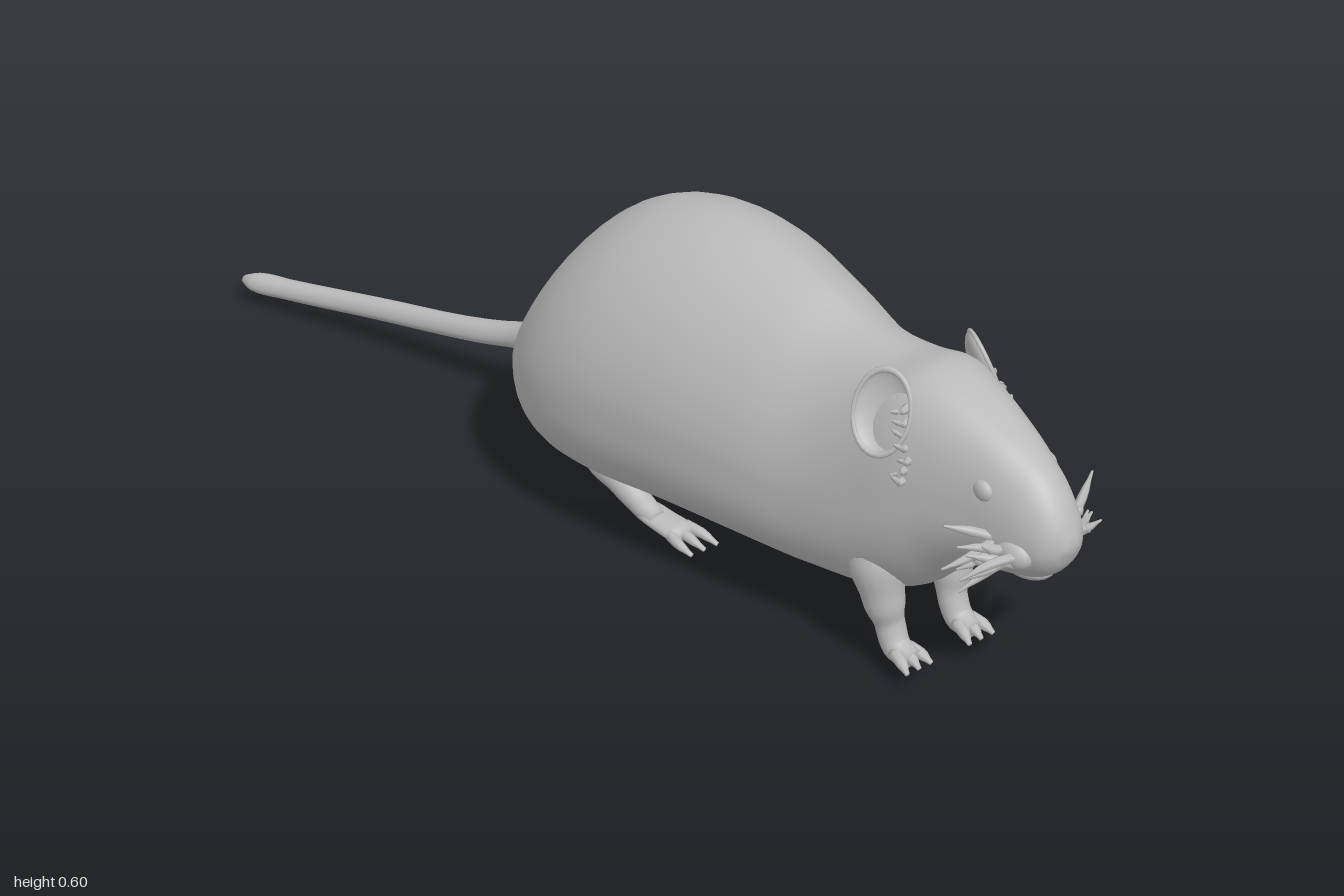
import * as THREE from 'three';

const fur = new THREE.MeshStandardMaterial({ color: 0xbababa });
fur.name = 'light grey fur';
fur.side = THREE.DoubleSide;

// Skin closed rings of points and cap both ends
function loft(rings) {
  const n = rings[0].length, pos = [], idx = [];
  rings.forEach(r => r.forEach(p => pos.push(p.x, p.y, p.z)));
  for (let j = 0; j < rings.length - 1; j++) {
    for (let i = 0; i < n; i++) {
      const a = j * n + i, b = j * n + (i + 1) % n;
      idx.push(a, a + n, b, b, a + n, b + n);
    }
  }
  [0, rings.length - 1].forEach((j, end) => {
    const c = new THREE.Vector3();
    rings[j].forEach(p => c.addScaledVector(p, 1 / n));
    const k = pos.length / 3;
    pos.push(c.x, c.y, c.z);
    for (let i = 0; i < n; i++) {
      const a = j * n + i, b = j * n + (i + 1) % n;
      if (end) idx.push(k, b, a); else idx.push(k, a, b);
    }
  });
  const g = new THREE.BufferGeometry();
  g.setAttribute('position', new THREE.Float32BufferAttribute(pos, 3));
  g.setIndex(idx);
  g.computeVertexNormals();
  return g;
}

// Tapered tube through points [x, y, z, radius]
function limb(points, sides = 14, steps = 16, flat = 1) {
  const curve = new THREE.CatmullRomCurve3(points.map(p => new THREE.Vector3(p[0], p[1], p[2])));
  const last = points.length - 1, rings = [];
  for (let j = 0; j <= steps; j++) {
    const t = j / steps, k = Math.min(Math.floor(t * last), last - 1);
    const r = THREE.MathUtils.lerp(points[k][3], points[k + 1][3], THREE.MathUtils.smoothstep(t * last - k, 0, 1));
    const c = curve.getPoint(t), T = curve.getTangent(t);
    const N = Math.abs(T.x) > 0.8 ? new THREE.Vector3(0, 1, 0) : new THREE.Vector3(1, 0, 0);
    N.addScaledVector(T, -N.dot(T)).normalize();
    const B = T.clone().cross(N), ring = [];
    for (let i = 0; i < sides; i++) {
      const a = -i / sides * Math.PI * 2;
      ring.push(c.clone().addScaledVector(N, r * Math.cos(a)).addScaledVector(B, r * flat * Math.sin(a)));
    }
    rings.push(ring);
  }
  return loft(rings);
}

// Body stations from nose to tail tip: z, top y, bottom y, half width, centre x
const stations = [
  [0.998, 0.372, 0.352, 0.012, 0], [0.985, 0.405, 0.322, 0.035, 0],
  [0.95, 0.453, 0.288, 0.056, 0], [0.90, 0.487, 0.27, 0.07, 0],
  [0.84, 0.515, 0.255, 0.084, 0], [0.77, 0.541, 0.215, 0.105, 0],
  [0.70, 0.555, 0.15, 0.128, 0.003], [0.62, 0.54, 0.115, 0.146, 0.005],
  [0.52, 0.543, 0.11, 0.165, 0.003], [0.40, 0.576, 0.107, 0.195, 0],
  [0.22, 0.604, 0.1, 0.236, 0], [0.06, 0.585, 0.083, 0.254, 0],
  [-0.04, 0.536, 0.078, 0.243, 0], [-0.12, 0.463, 0.088, 0.213, 0],
  [-0.19, 0.367, 0.12, 0.168, 0], [-0.24, 0.273, 0.14, 0.12, -0.003],
  [-0.29, 0.207, 0.14, 0.066, -0.008], [-0.35, 0.174, 0.122, 0.034, -0.016],
  [-0.45, 0.143, 0.097, 0.025, -0.037], [-0.7, 0.1, 0.058, 0.022, -0.095],
  [-0.9, 0.073, 0.034, 0.022, -0.155], [-0.97, 0.066, 0.03, 0.021, -0.178],
  [-0.998, 0.054, 0.038, 0.009, -0.186]
];

function bodyGeometry() {
  const curve = new THREE.CubicInterpolant(
    stations.map(s => -s[0]), stations.flatMap(s => s.slice(1)), 4, new Float32Array(4));
  const rings = [], sides = 48, sub = 5, { lerp, smoothstep } = THREE.MathUtils;
  const power = (v, e) => Math.sign(v) * Math.pow(Math.abs(v), e);
  for (let j = 0; j <= (stations.length - 1) * sub; j++) {
    const k = Math.min(Math.floor(j / sub), stations.length - 2);
    const z = lerp(stations[k][0], stations[k + 1][0], j / sub - k);
    const [top, bottom, w, cx] = curve.evaluate(-z);
    const mid = bottom + 0.42 * (top - bottom), ring = [];
    // narrow back, flat crown and round snout; flat belly and tapered chest
    const head = smoothstep(z, 0.48, 0.7);
    const trunk = smoothstep(z, -0.35, -0.15);
    const upper = lerp(lerp(1, 1.12, trunk), 0.8, head) + 0.2 * smoothstep(z, 0.84, 0.98);
    const lower = lerp(lerp(1, 0.76, trunk), 1, head);
    for (let i = 0; i < sides; i++) {
      const a = i / sides * Math.PI * 2, c = Math.cos(a), s = Math.sin(a);
      const e = s < 0 ? lower : upper;
      const h = s > 0 ? top - mid : mid - bottom;
      ring.push(new THREE.Vector3(cx + w * power(c, e), mid + h * power(s, e), z));
    }
    rings.push(ring);
  }
  return loft(rings);
}

export function createModel() {
  const model = new THREE.Group();
  model.name = 'rodent';
  const add = (name, geometry, parent = model) => {
    const m = new THREE.Mesh(geometry, fur);
    m.name = name;
    parent.add(m);
    return m;
  };
  let seed = 7;
  const rand = (a, b) => {
    seed = (seed * 16807) % 2147483647;
    return a + (b - a) * seed / 2147483647;
  };

  add('bodyAndTail', bodyGeometry());

  for (const s of [-1, 1]) {
    const side = s > 0 ? 'left' : 'right';

    // Front leg rising inside the shoulder, with paw and toes
    const fx = s * 0.068;
    add(side + 'FrontLeg', limb([
      [s * 0.06, 0.33, 0.61, 0.025], [s * 0.074, 0.2, 0.645, 0.05], [s * 0.074, 0.13, 0.662, 0.035],
      [fx, 0.085, 0.672, 0.025], [fx, 0.05, 0.69, 0.024], [fx * 0.97, 0.042, 0.725, 0.018]], 18, 25));
    for (let i = -1; i <= 1; i++) {
      add(side + 'FrontToe', limb([
        [fx + i * 0.014, 0.048, 0.7, 0.012], [fx + i * 0.021, 0.044, 0.725, 0.01],
        [fx + i * 0.026, 0.034, 0.745, 0.004]], 8, 6));
    }

    // Hind leg rising inside the haunch, long flat foot and toes
    const hx = s > 0 ? 0.135 : -0.103;
    add(side + 'HindLeg', limb([
      [hx * 0.85, 0.22, -0.09, 0.03], [hx * 0.95, 0.14, -0.075, 0.045], [hx, 0.088, -0.02, 0.036],
      [hx, 0.058, 0.04, 0.027], [hx, 0.036, 0.09, 0.022], [hx, 0.026, 0.125, 0.018]], 18, 25));
    add(side + 'HindFoot', limb([
      [hx, 0.042, 0.05, 0.012], [hx - s * 0.006, 0.027, 0.11, 0.028],
      [hx - s * 0.012, 0.021, 0.165, 0.03], [hx - s * 0.014, 0.019, 0.185, 0.02]], 14, 15, 0.45));
    for (let i = -1; i <= 1; i++) {
      const tx = hx - s * 0.014 + i * 0.018;
      add(side + 'HindToe', limb([
        [tx, 0.02, 0.16, 0.011], [tx + i * 0.008, 0.018, 0.195, 0.009],
        [tx + i * 0.01 - s * 0.008, 0.006, 0.225, 0.004]], 8, 6));
    }

    // Cupped ear leaning on the crown and flaring outward at the back
    const ear = new THREE.Group();
    ear.name = side + 'Ear';
    ear.position.set(s * 0.11, 0.497, 0.682);
    ear.rotation.set(0, s * -0.4, s * 0.36);
    model.add(ear);
    const cup = new THREE.SphereGeometry(1, 24, 10, 0, Math.PI * 2, 0, Math.PI / 2);
    cup.rotateZ(s * Math.PI / 2);
    cup.scale(0.022, 0.07, 0.05);
    add('earCup', cup, ear);
    const rim = new THREE.TorusGeometry(1, 0.08, 8, 28);
    rim.rotateY(Math.PI / 2);
    rim.scale(0.05, 0.068, 0.048);
    add('earRim', rim, ear);

    // Fur tufts along the front of the ear and the cheek
    for (let i = 0; i < 7; i++) {
      const y = 0.51 - i * 0.018, x = 0.088 + i * 0.004, z = 0.725 + rand(-0.015, 0.02);
      add(side + 'EarTuft', limb([
        [s * (x - 0.015), y, z, 0.01], [s * (x + 0.006), y - 0.004, z + 0.002, 0.007],
        [s * (x + rand(0.01, 0.022)), y + rand(-0.012, 0.012), z - 0.01, 0.002]], 6, 4));
    }

    // Eye bump
    const eye = add(side + 'Eye', new THREE.SphereGeometry(0.018, 16, 12));
    eye.scale.set(0.6, 1, 1.1);
    eye.position.set(s * 0.068, 0.428, 0.868);

    // Whisker pad and ragged whisker clumps
    const pad = add(side + 'WhiskerPad', new THREE.SphereGeometry(1, 16, 12));
    pad.scale.set(0.024, 0.028, 0.036);
    pad.position.set(s * 0.05, 0.338, 0.925);
    for (let i = 0; i < 11; i++) {
      const y = 0.335 + rand(-0.022, 0.025), z = 0.915 + rand(-0.025, 0.03);
      const ex = rand(0.09, 0.158), ey = y + rand(-0.045, 0.03), ez = z - rand(0, 0.075);
      add(side + 'Whisker', limb([
        [s * 0.055, y, z, 0.009],
        [s * (0.03 + ex * 0.5), (y + ey) / 2 + rand(-0.01, 0.01), (z + ez) / 2, 0.008],
        [s * ex, ey, ez, 0.002]], 6, 6));
    }
  }

  // Muzzle tip and chin
  const nose = add('nose', new THREE.SphereGeometry(1, 18, 12));
  nose.scale.set(0.03, 0.027, 0.024);
  nose.position.set(0, 0.362, 0.974);
  const chin = add('chin', new THREE.SphereGeometry(1, 18, 12));
  chin.scale.set(0.036, 0.02, 0.045);
  chin.position.set(0, 0.291, 0.91);

  return model;
}
